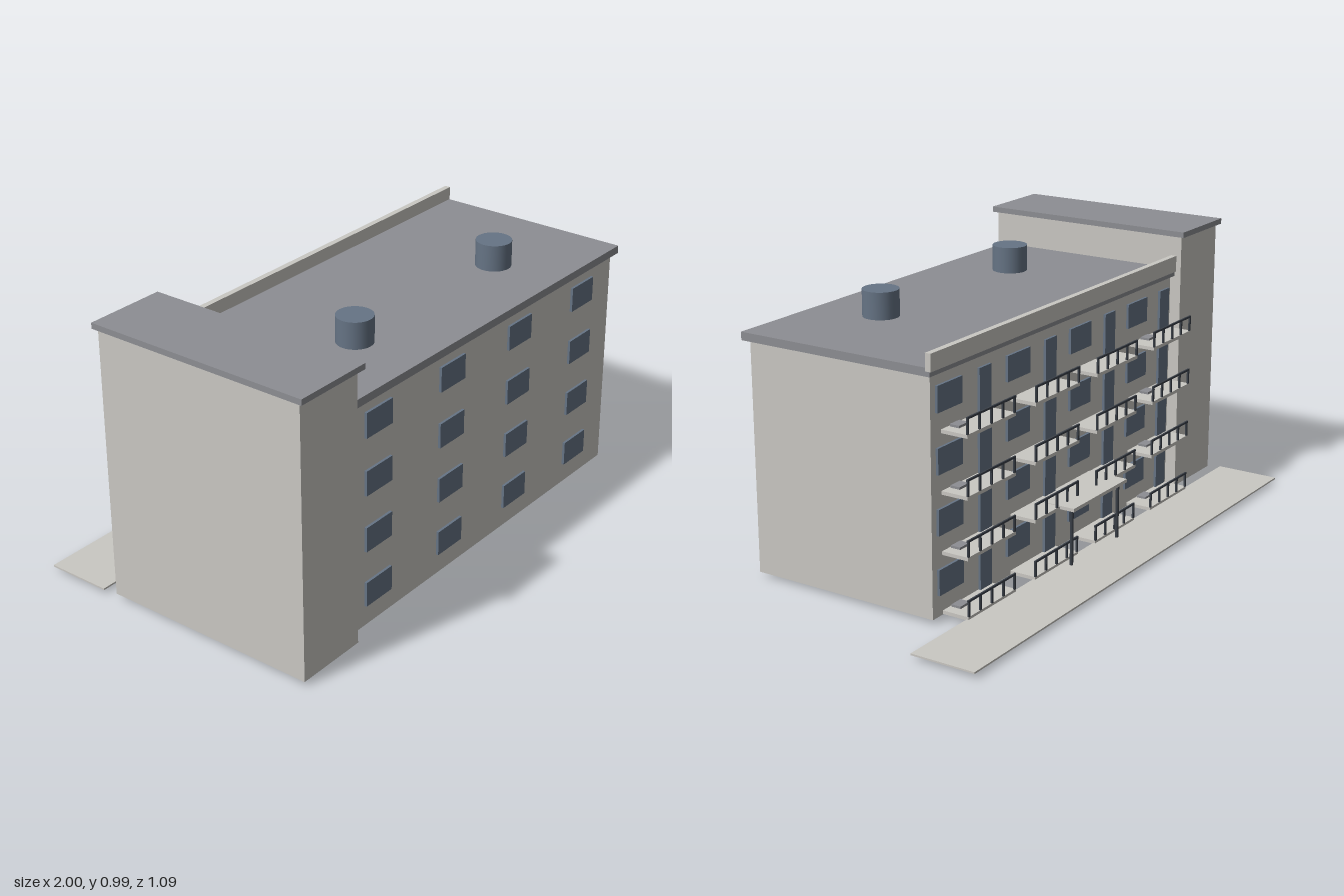
import * as THREE from 'three';

const mat = (name, color) => {
  const m = new THREE.MeshStandardMaterial({ color });
  m.name = name;
  return m;
};

export function createModel() {
  const concrete = mat('pale concrete', 0xcac8c3);
  const roofGrey = mat('roof grey', 0x8d8e93);
  const glass = mat('slate blue', 0x667485);
  const metal = mat('dark metal', 0x3a4048);

  const model = new THREE.Group();
  model.name = 'apartmentBlock';

  // Box given by its extents on each axis
  const box = (name, m, [x0, x1], [y0, y1], [z0, z1], parent = model) => {
    const mesh = new THREE.Mesh(new THREE.BoxGeometry(x1 - x0, y1 - y0, z1 - z0), m);
    mesh.position.set((x0 + x1) / 2, (y0 + y1) / 2, (z0 + z1) / 2);
    mesh.name = name;
    parent.add(mesh);
    return mesh;
  };

  // Main block, roof slab and rear parapet
  box('mainBlock', concrete, [-0.727, 0.76], [0.015, 0.817], [-0.22, 0.486]);
  box('mainRoof', roofGrey, [-0.727, 0.784], [0.817, 0.845], [-0.237, 0.502]);
  box('rearParapet', concrete, [-0.727, 0.786], [0.834, 0.892], [-0.243, -0.222]);

  // Stair tower
  box('stairTower', concrete, [-0.99, -0.727], [0.015, 0.965], [-0.262, 0.528]);
  box('towerRoof', roofGrey, [-1, -0.71], [0.965, 0.985], [-0.279, 0.543]);

  // Roof vents
  for (const x of [-0.385, 0.38]) {
    const vent = new THREE.Mesh(new THREE.CylinderGeometry(0.062, 0.062, 0.095, 32), glass);
    vent.position.set(x, 0.89, 0.25);
    vent.name = 'roofVent';
    model.add(vent);
  }

  // Four floors of four bays: windows, balcony doors, balconies and railings
  const bays = [-0.576, -0.193, 0.188, 0.572];
  for (let floor = 0; floor < 4; floor++) {
    const y = floor * 0.2;
    bays.forEach((x, i) => {
      const bay = new THREE.Group();
      bay.name = 'bay';
      model.add(bay);
      const pane = [y + 0.089, y + 0.176];
      box('frontWindow', glass, [x - 0.065, x + 0.065], pane, [0.486, 0.495], bay);
      box('rearWindow', glass, [x + 0.03, x + 0.162], pane, [-0.229, -0.22], bay);
      box('balconyDoor', glass, [x - 0.13, x - 0.064], [y + 0.028, y + 0.176], [-0.229, -0.22], bay);

      box('balconySlab', concrete, [x - 0.134, x + 0.134], [y + 0.017, y + 0.029], [-0.318, -0.22], bay);
      box('handrail', metal, [x - 0.134, x + 0.134], [y + 0.078, y + 0.085], [-0.319, -0.313], bay);
      for (let p = 0; p < 5; p++) {
        const px = x - 0.129 + p * 0.0645;
        box('railPost', metal, [px - 0.004, px + 0.004], [y + 0.029, y + 0.08], [-0.319, -0.313], bay);
      }

      // Cooling units on the two end bays
      if (i === 0 || i === 3) {
        const cx = i === 0 ? -0.533 : 0.642;
        box('coolingUnit', roofGrey, [cx - 0.025, cx + 0.025], [y, y + 0.037], [-0.261, -0.226], bay);
      }
    });
  }

  // Entrance canopy on two posts
  box('canopy', concrete, [-0.176, 0.171], [0.219, 0.231], [-0.372, -0.22]);
  for (const x of [-0.15, 0.148]) {
    const post = new THREE.Mesh(new THREE.CylinderGeometry(0.006, 0.006, 0.2, 12), metal);
    post.position.set(x, 0.12, -0.35);
    post.name = 'canopyPost';
    model.add(post);
  }

  // Path along the rear
  box('rearPath', concrete, [-1, 1], [0.014, 0.02], [-0.543, -0.31]);

  return model;
}
